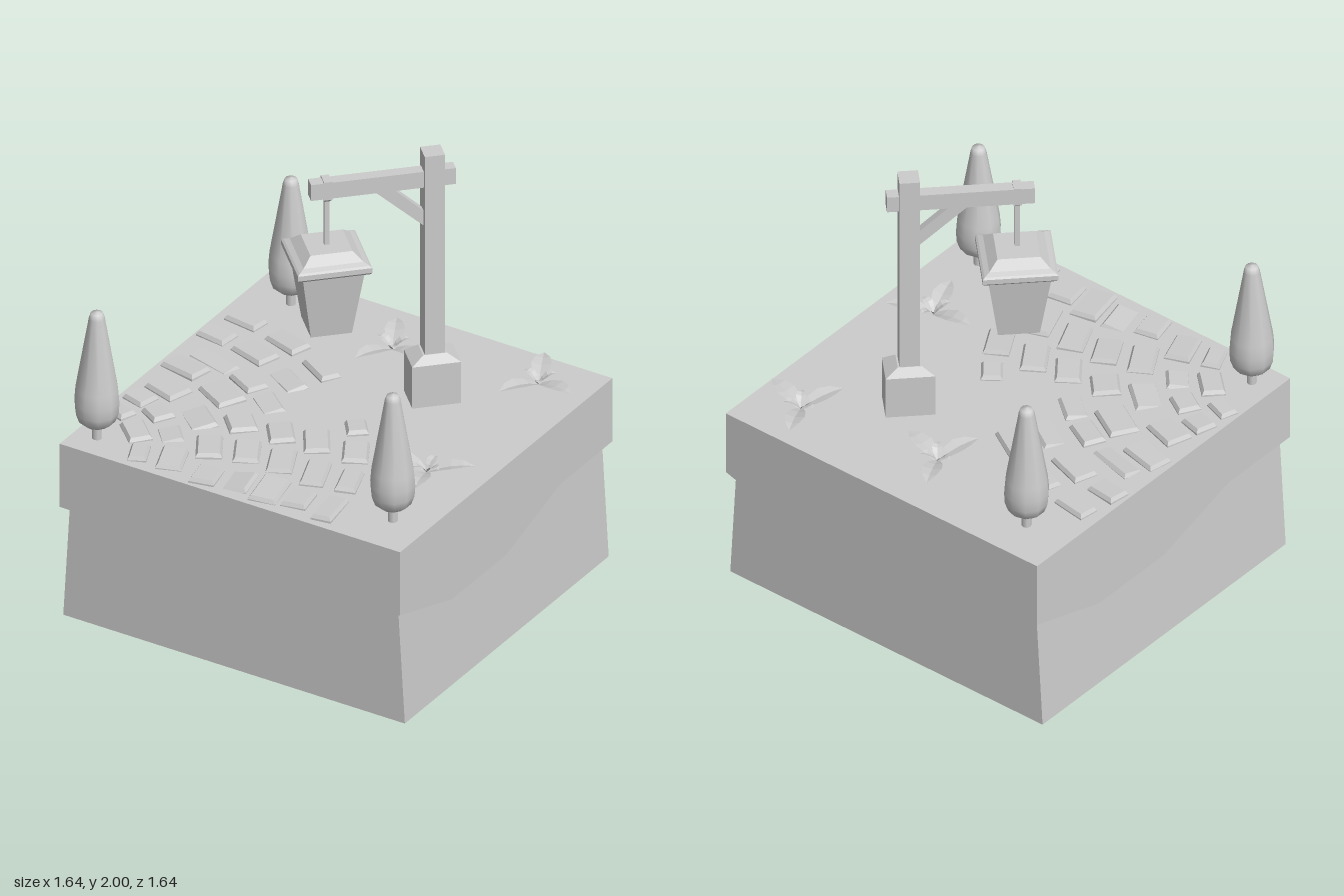
import * as THREE from 'three';

const GROUND = 0.83;
const flat = new THREE.MeshStandardMaterial({ color: 0xcccccc, flatShading: true });
const smooth = new THREE.MeshStandardMaterial({ color: 0xcccccc });
const leafy = new THREE.MeshStandardMaterial({ color: 0xcccccc, flatShading: true, side: THREE.DoubleSide });

function add(parent, name, geometry, x = 0, y = 0, z = 0, material = flat) {
  const mesh = new THREE.Mesh(geometry, material);
  mesh.name = name;
  mesh.position.set(x, y, z);
  parent.add(mesh);
  return mesh;
}

// Box standing on y = 0 whose top face is resized to tw x td
function taperedBox(w, h, d, tw, td, heightSegments = 1) {
  const g = new THREE.BoxGeometry(w, h, d, 1, heightSegments, 1).translate(0, h / 2, 0);
  const p = g.attributes.position;
  for (let i = 0; i < p.count; i++) {
    if (p.getY(i) > h - 1e-5) p.setXYZ(i, Math.sign(p.getX(i)) * tw / 2, h, Math.sign(p.getZ(i)) * td / 2);
  }
  g.computeVertexNormals();
  return g;
}

const lathe = (points, segments) =>
  new THREE.LatheGeometry(points.map(([r, y]) => new THREE.Vector2(r, y)), segments);

function extrude(points, depth) {
  const shape = new THREE.Shape(points.map(([x, y]) => new THREE.Vector2(x, y)));
  return new THREE.ExtrudeGeometry(shape, { depth, bevelEnabled: false });
}

// Earth block and the turf slab with a wavy hanging edge
function buildGround(root) {
  add(root, 'earthBlock', taperedBox(1.645, 0.54, 1.575, 1.58, 1.575));
  add(root, 'turfSlab', new THREE.BoxGeometry(1.64, 0.3, 1.64), 0, 0.68, 0);
  const early = [[-0.82, 0.53], [-0.42, 0.405], [0, 0.405], [0.42, 0.53]];
  const late = [[-0.42, 0.53], [0, 0.405], [0.42, 0.405], [0.82, 0.53]];
  for (let i = 0; i < 4; i++) {
    const g = extrude(i === 0 ? late : early, 0.035).translate(0, 0, 0.785);
    add(root, 'turfEdge', g).rotation.y = i * Math.PI / 2;
  }
}

// Post with footing, arm, brace and hanging strap; local +x points along the arm
function buildPost(root) {
  const post = new THREE.Group();
  post.name = 'lampPost';
  post.position.set(0.275, 0, -0.305);
  post.rotation.y = -3 * Math.PI / 4;
  root.add(post);
  add(post, 'footing', new THREE.BoxGeometry(0.205, 0.195, 0.148), 0, GROUND + 0.0975, 0);
  add(post, 'footingCap', taperedBox(0.205, 0.035, 0.148, 0.1, 0.09), 0, 1.025, 0);
  add(post, 'upright', new THREE.BoxGeometry(0.085, 1, 0.085), 0, 1.5, 0);
  add(post, 'arm', new THREE.BoxGeometry(0.608, 0.075, 0.052), 0.212, 1.883, 0);
  add(post, 'brace', extrude([[0.03, 1.65], [0.25, 1.85], [0.17, 1.85], [0.03, 1.72]], 0.035), 0, 0, -0.0175);
  add(post, 'strap', new THREE.BoxGeometry(0.034, 0.085, 0.062), 0.445, 1.885, 0);
  add(post, 'strapFoot', taperedBox(0.02, 0.018, 0.022, 0.034, 0.062), 0.445, 1.825, 0);
  add(post, 'hangingRod', new THREE.BoxGeometry(0.022, 0.24, 0.022), 0.445, 1.72, 0);
}

// Four-sided lantern set cornerwise
function buildLantern(root) {
  const lantern = new THREE.Group();
  lantern.name = 'lantern';
  lantern.position.set(-0.042, 0, 0.005);
  root.add(lantern);
  add(lantern, 'lanternBody', lathe([[0, 1.23], [0.122, 1.23], [0.185, 1.54]], 4));
  add(lantern, 'lanternLid', lathe([[0, 1.535], [0.208, 1.535], [0.22, 1.545], [0.22, 1.568],
    [0.208, 1.575], [0.178, 1.585], [0.125, 1.62], [0, 1.62]], 4));
}

// Slim rounded trees
function buildTrees(root) {
  const crown = lathe([[0, 0.893], [0.05, 0.897], [0.078, 0.92], [0.092, 0.96], [0.095, 1.01],
    [0.09, 1.07], [0.034, 1.4], [0.026, 1.425], [0, 1.432]], 10);
  for (const [x, z] of [[0.66, 0.62], [-0.61, -0.63], [-0.715, 0.7]]) {
    const tree = new THREE.Group();
    tree.name = 'tree';
    tree.position.set(x, 0, z);
    root.add(tree);
    add(tree, 'trunk', new THREE.CylinderGeometry(0.02, 0.02, 0.09, 8), 0, 0.87, 0, smooth);
    add(tree, 'crown', crown, 0, 0, 0, smooth);
  }
}

// Paving stones: x, z, length, width in hundredths, turned along an arc round the front corner
function buildPath(root) {
  const stones = [
    [-69, -41, 16, 9], [-45, -35, 18, 10], [-22, -24, 17, 9], [-73, -25, 14, 10], [-52, -21, 18, 11],
    [-29, -10, 18, 10], [-63, -7, 22, 9], [-42, 0, 15, 10], [-70, 4, 18, 11], [-46, 14, 18, 13],
    [-26, 10, 15, 10], [-67, 22, 16, 12], [-44, 35, 17, 12], [-27, 30, 13, 12], [-73, 34, 11, 10],
    [-60, 41, 11, 10], [-74, 48, 11, 8], [-60, 58, 15, 10], [-47, 52, 12, 10], [-28, 53, 17, 11],
    [-9, 28, 15, 11], [-13, 48, 16, 11], [7, 26, 17, 11], [15, 8, 11, 9], [25, 25, 16, 11],
    [3, 47, 17, 11], [20, 48, 19, 10], [35, 46, 17, 9], [-50, 72, 12, 8], [-36, 69, 16, 11],
    [-17, 73, 13, 11], [-3, 69, 16, 11], [11, 69, 19, 12], [25, 69, 13, 11], [40, 69, 19, 9],
  ];
  const sunk = [5, 6, 10, 12, 18, 31];
  stones.forEach((s, i) => {
    const [x, z, l, w] = s.map((v) => v / 100);
    const g = taperedBox(l, 0.032, w, l - 0.02, w - 0.02, 2);
    const stone = add(root, 'pavingStone', g, x, GROUND - 0.01, z);
    const tilt = sunk.includes(i) ? 0.16 : 0.04 * Math.sin(i * 2.3);
    stone.rotation.set(tilt, -Math.atan2(x + 0.88, 0.88 - z), 0.03 * Math.sin(i * 1.7), 'YXZ');
    if (sunk.includes(i)) stone.position.y -= 0.012;
  });
}

// Arched, folded leaf running along +x
function leafGeometry(length, width, rise) {
  const g = new THREE.PlaneGeometry(1, 2, 4, 2);
  const p = g.attributes.position;
  const profile = [0.25, 0.75, 1, 0.7, 0];
  for (let i = 0; i < p.count; i++) {
    const t = p.getX(i) + 0.5;
    const side = p.getY(i);
    const half = profile[Math.round(t * 4)] * width / 2;
    p.setXYZ(i, t * length, 0.008 + rise * t * (1.6 - t) + Math.abs(side) * half * 0.25, -side * half);
  }
  g.computeVertexNormals();
  return g;
}

// Low plants with three long and three short leaves
function buildPlants(root) {
  const longLeaf = leafGeometry(0.2, 0.085, 0.055);
  const shortLeaf = leafGeometry(0.075, 0.045, 0.07);
  const plants = [
    [-0.06, -0.53, [-116, 14, 108]],
    [0.595, -0.61, [-115, 14, 112]],
    [0.58, 0.23, [-30, 73, 180]],
  ];
  for (const [x, z, angles] of plants) {
    const plant = new THREE.Group();
    plant.name = 'plant';
    plant.position.set(x, GROUND, z);
    root.add(plant);
    for (const a of angles) {
      add(plant, 'longLeaf', longLeaf, 0, 0, 0, leafy).rotation.y = -THREE.MathUtils.degToRad(a);
      add(plant, 'shortLeaf', shortLeaf, 0, 0, 0, leafy).rotation.y = -THREE.MathUtils.degToRad(a - 58);
    }
  }
}

export function createModel() {
  const root = new THREE.Group();
  root.name = 'gardenLantern';
  buildGround(root);
  buildPost(root);
  buildLantern(root);
  buildTrees(root);
  buildPath(root);
  buildPlants(root);
  return root;
}
